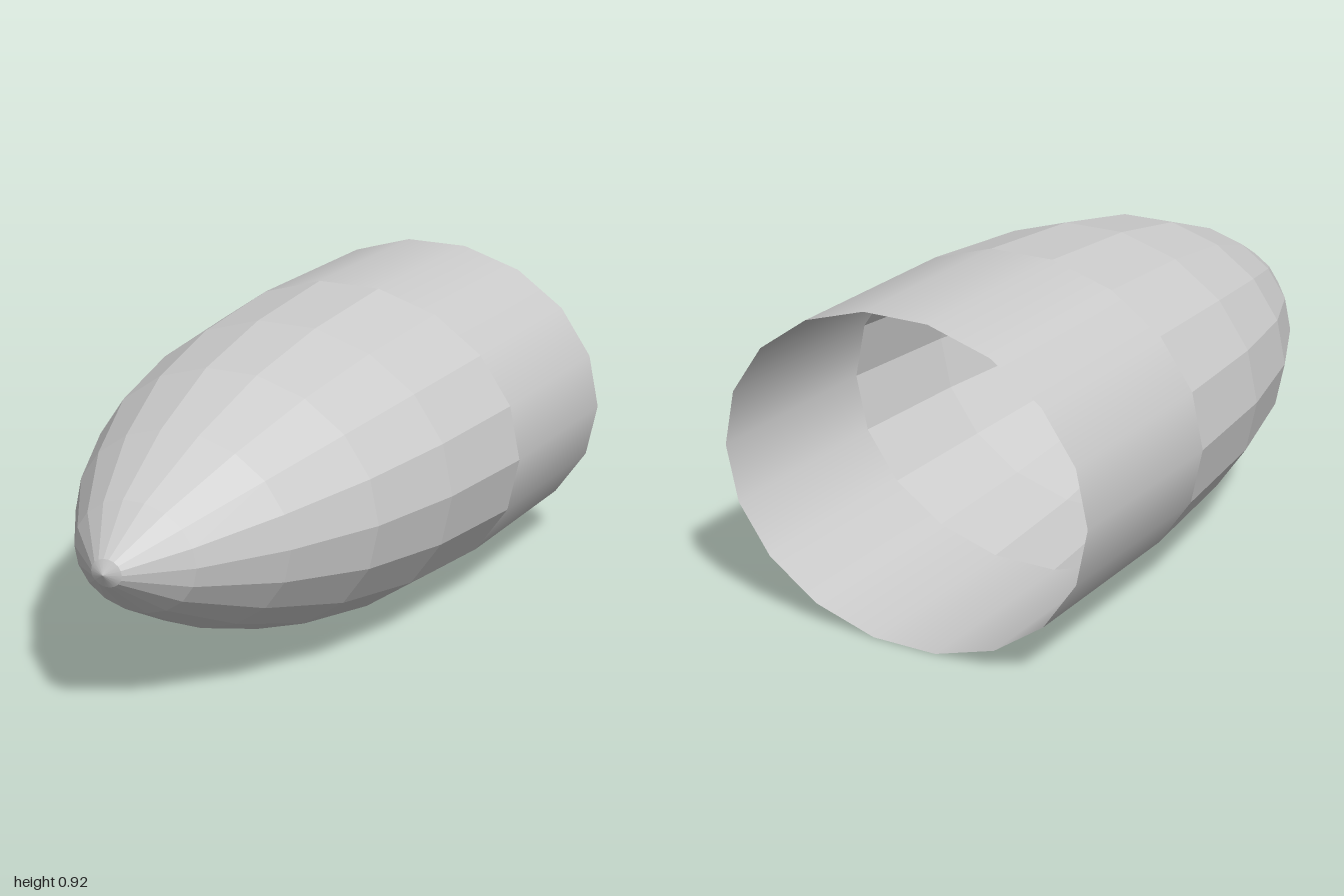
import * as THREE from 'three';

const SIDES = 18;
const FLATTEN = 0.827; // height of the oval section relative to its width
const CENTRE_Y = 0.46;

// Sweeps [radius, z] pairs around the z axis into an oval shell
function shell(name, profile, flatShading) {
  const points = profile.map(([r, z]) => new THREE.Vector2(r, z));
  const geometry = new THREE.LatheGeometry(points, SIDES, Math.PI / 2);
  geometry.rotateX(Math.PI / 2);
  geometry.scale(1, FLATTEN, 1);
  const material = new THREE.MeshStandardMaterial({
    color: 0xcccccc, flatShading, side: THREE.DoubleSide,
  });
  const mesh = new THREE.Mesh(geometry, material);
  mesh.name = name;
  mesh.position.y = CENTRE_Y;
  return mesh;
}

export function createModel() {
  const model = new THREE.Group();
  model.name = 'noseCone';

  // Straight smooth sleeve, open at the back
  model.add(shell('sleeve', [[0.565, -1], [0.565, -0.39]], false));

  // Faceted tapering nose
  model.add(shell('nose', [
    [0.565, -0.39], [0.53, 0], [0.459, 0.32], [0.339, 0.6], [0.189, 0.84], [0.047, 0.98],
  ], true));

  // Small blunt cap closing the point
  model.add(shell('tip', [[0.047, 0.98], [0, 1]], false));

  return model;
}
